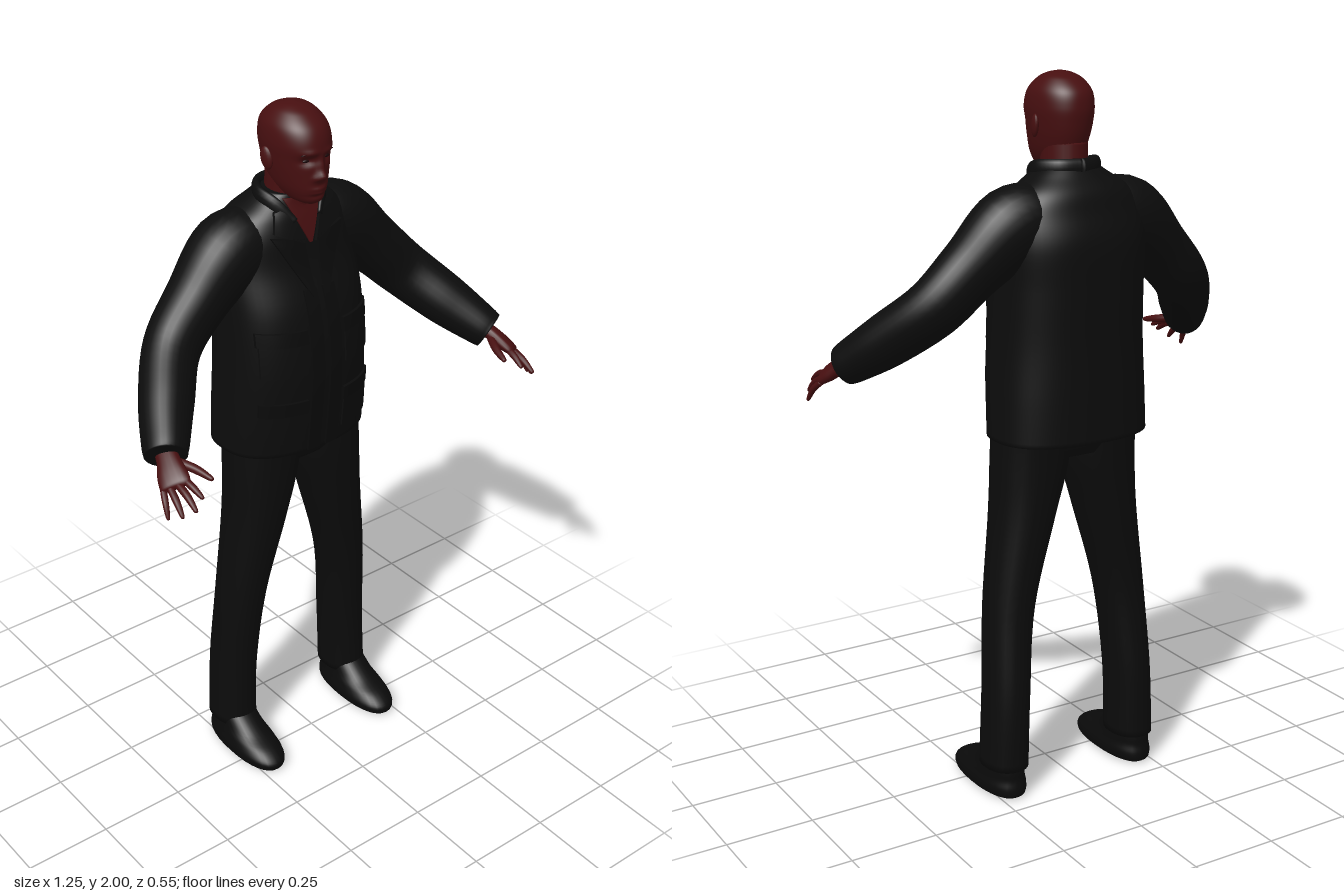
import * as THREE from 'three';

const mat = (name, color, side = THREE.FrontSide) => {
  const m = new THREE.MeshStandardMaterial({ color, side });
  m.name = name;
  return m;
};

// smooth interpolation through a table of sections
function at(rows, s) {
  const n = rows.length - 1, i = Math.min(Math.floor(s * n), n - 1), t = s * n - i;
  const [a, b, c, d] = [-1, 0, 1, 2].map(k => rows[Math.max(0, Math.min(n, i + k))]);
  return b.map((p, k) => p + 0.5 * t * (c[k] - a[k] + t * (2 * a[k] - 5 * p + 4 * c[k] - d[k]
    + t * (3 * (p - c[k]) + d[k] - a[k]))));
}

// section: [x, y, z, half width, half depth]; rings are horizontal unless a ref axis is given
function loft(rows, { ref = null, e = 2, seg = 28, steps = 24 } = {}) {
  const pos = [], idx = [], P = s => new THREE.Vector3(...at(rows, s));
  const pow = v => Math.sign(v) * Math.abs(v) ** (2 / e);
  for (let j = 0; j <= steps; j++) {
    const s = j / steps, r = at(rows, s), c = P(s);
    let u = new THREE.Vector3(1, 0, 0), v = new THREE.Vector3(0, 0, 1);
    if (ref) {
      const t = P(Math.min(1, s + 0.01)).sub(P(Math.max(0, s - 0.01))).normalize();
      v = ref.clone().addScaledVector(t, -ref.dot(t)).normalize();
      u = t.clone().cross(v);
    }
    for (let i = 0; i < seg; i++) {
      const a = i / seg * Math.PI * 2;
      const p = c.clone().addScaledVector(u, r[3] * pow(Math.cos(a))).addScaledVector(v, r[4] * pow(Math.sin(a)));
      pos.push(p.x, p.y, p.z);
    }
  }
  for (let j = 0; j < steps; j++) for (let i = 0; i < seg; i++) {
    const a = j * seg + i, b = j * seg + (i + 1) % seg;
    idx.push(a, a + seg, b, b, a + seg, b + seg);
  }
  // end caps
  const base = (steps + 1) * seg;
  pos.push(...P(0).toArray(), ...P(1).toArray());
  for (let i = 0; i < seg; i++) {
    const k = (i + 1) % seg, o = steps * seg;
    idx.push(base, i, k, base + 1, o + k, o + i);
  }
  const g = new THREE.BufferGeometry();
  g.setAttribute('position', new THREE.Float32BufferAttribute(pos, 3));
  g.setIndex(idx);
  g.computeVertexNormals();
  return g;
}

function mirrored(geo) {
  const g = geo.clone().scale(-1, 1, 1), a = g.index.array;
  for (let i = 0; i < a.length; i += 3) [a[i], a[i + 1]] = [a[i + 1], a[i]];
  return g;
}

// [y, half width, back z, front z] -> loft section
const ring = ([y, w, b, f]) => [0, y, (b + f) / 2, w, (f - b) / 2];

const TORSO = [
  [1.035, 0.226, -0.272, 0.045], [1.15, 0.222, -0.272, 0.058], [1.3, 0.214, -0.272, 0.068],
  [1.45, 0.21, -0.275, 0.052], [1.57, 0.208, -0.274, 0.01], [1.65, 0.198, -0.25, -0.008],
  [1.7, 0.165, -0.232, -0.022], [1.738, 0.11, -0.2, -0.034], [1.765, 0.072, -0.175, -0.035],
].map(ring);
const TORSO_E = 2.4;

// depth of the jacket front at a point
function frontZ(x, y) {
  let lo = 0, hi = 1;
  for (let i = 0; i < 24; i++) {
    const m = (lo + hi) / 2;
    if (at(TORSO, m)[1] < y) lo = m; else hi = m;
  }
  const r = at(TORSO, lo), k = Math.min(1, Math.abs(x) / r[3]);
  return r[2] + r[4] * (1 - k ** TORSO_E) ** (1 / TORSO_E);
}

// thin plate wrapped on the jacket front; corners: lower inner, lower outer, upper outer, upper inner
function plate(c, thick) {
  const g = new THREE.BoxGeometry(1, 1, 1, 8, 12, 1), p = g.attributes.position;
  for (let i = 0; i < p.count; i++) {
    const u = p.getX(i) + 0.5, v = p.getY(i) + 0.5, w = p.getZ(i);
    const [x, y] = [0, 1].map(k => (c[0][k] * (1 - u) + c[1][k] * u) * (1 - v) + (c[3][k] * (1 - u) + c[2][k] * u) * v);
    p.setXYZ(i, x, y, frontZ(x, y) + (w > 0 ? thick : -0.006));
  }
  g.computeVertexNormals();
  return g;
}
const rect = (x0, x1, y0, y1) => [[x0, y0], [x1, y0], [x1, y1], [x0, y1]];

// head with a sculpted face
function headGeometry() {
  const g = loft([
    [1.747, 0.022, -0.07, 0.012], [1.76, 0.042, -0.12, 0.029], [1.79, 0.059, -0.15, 0.036],
    [1.83, 0.07, -0.168, 0.037], [1.87, 0.077, -0.178, 0.038], [1.91, 0.081, -0.182, 0.041],
    [1.95, 0.075, -0.173, 0.026], [1.98, 0.054, -0.142, -0.008], [1.994, 0.031, -0.108, -0.04],
    [2.0, 0.004, -0.078, -0.07],
  ].map(ring), { e: 2.15, seg: 80, steps: 80 });
  const p = g.attributes.position;
  const bump = (x, y, sx, sy) => Math.exp(-((x / sx) ** 2) - (y / sy) ** 2);
  for (let i = 0; i < p.count; i++) {
    const x = p.getX(i), y = p.getY(i), z = p.getZ(i), ax = Math.abs(x);
    if (z < -0.03) continue;
    p.setZ(i, z + 0.02 * bump(x, y - 1.832, 0.013, 0.014) + 0.012 * bump(x, y - 1.86, 0.009, 0.022)
      + 0.006 * bump(ax - 0.015, y - 1.826, 0.008, 0.008) - 0.012 * bump(ax - 0.031, y - 1.873, 0.017, 0.012)
      + 0.005 * bump(ax - 0.028, y - 1.895, 0.022, 0.008) + 0.006 * bump(x, y - 1.796, 0.022, 0.005)
      + 0.006 * bump(x, y - 1.785, 0.018, 0.005) - 0.004 * bump(x, y - 1.775, 0.03, 0.006));
  }
  g.computeVertexNormals();
  return g;
}

export function createModel() {
  const model = new THREE.Group();
  const skin = mat('skin', 0x470f10), dark = mat('dark skin', 0x1c0708);
  const jacket = mat('jacket cloth', 0x0c0c0c), trim = mat('jacket trim', 0x0a0a0a);
  const cloth = mat('trouser cloth', 0x0b0b0b), leather = mat('shoe leather', 0x0a0a0a);
  const add = (name, geo, m) => {
    const mesh = new THREE.Mesh(geo, m);
    mesh.name = name;
    model.add(mesh);
  };
  const pair = (name, geo, m) => {
    add(name + 'Left', geo, m);
    add(name + 'Right', mirrored(geo), m);
  };
  const V = (...a) => new THREE.Vector3(...a), Z = V(0, 0, 1);

  // head and neck
  add('head', headGeometry(), skin);
  add('neck', loft([[1.62, 0.07, -0.17, -0.05], [1.7, 0.064, -0.17, -0.03], [1.75, 0.06, -0.168, -0.026],
    [1.82, 0.06, -0.165, -0.02]].map(ring)), skin);
  const ear = new THREE.SphereGeometry(1, 16, 12).scale(0.009, 0.031, 0.019).rotateX(-0.2).rotateY(-0.25)
    .translate(0.081, 1.862, -0.082);
  pair('ear', ear, skin);
  pair('eye', new THREE.SphereGeometry(1, 14, 10).scale(0.012, 0.005, 0.006).translate(0.031, 1.873, 0.018), dark);
  pair('brow', loft([[0.014, 1.89, 0.037, 0.002, 0.003], [0.031, 1.895, 0.033, 0.003, 0.003],
    [0.05, 1.891, 0.022, 0.001, 0.003]], { ref: Z, seg: 8, steps: 10 }), dark);

  // jacket body, open neck and collar
  add('jacketBody', loft(TORSO, { e: TORSO_E, seg: 56, steps: 48 }), jacket);
  add('openNeck', plate([[-0.004, 1.635], [0.004, 1.635], [0.058, 1.755], [-0.058, 1.755]], 0.005), skin);
  pair('collar', loft([[0.045, 1.69, -0.022, 0.008, 0.02], [0.078, 1.735, -0.06, 0.014, 0.026],
    [0.085, 1.752, -0.11, 0.014, 0.026], [0.055, 1.758, -0.162, 0.012, 0.024], [0, 1.758, -0.18, 0.012, 0.024]],
  { ref: V(0, 1, 0), seg: 16 }), jacket);
  pair('lapel', plate([[0.014, 1.5], [0.026, 1.5], [0.115, 1.665], [0.022, 1.65]], 0.009), trim);
  pair('upperLapel', plate([[0.014, 1.635], [0.105, 1.675], [0.09, 1.725], [0.052, 1.735]], 0.009), jacket);
  pair('frontBand', plate(rect(0.01, 0.05, 1.04, 1.52), 0.006), trim);

  // pockets with flaps
  for (const [name, y] of [['lower', 1.08], ['upper', 1.29]]) {
    pair(name + 'Pocket', plate(rect(0.065, 0.18, y, y + 0.1), 0.006), jacket);
    pair(name + 'PocketFlap', plate(rect(0.06, 0.185, y + 0.09, y + 0.13), 0.009), trim);
  }

  // sleeves
  pair('sleeve', loft([[0.07, 1.635, -0.125, 0.08, 0.09], [0.175, 1.612, -0.125, 0.106, 0.1],
    [0.29, 1.515, -0.112, 0.086, 0.083], [0.39, 1.415, -0.088, 0.079, 0.073], [0.475, 1.325, 0.005, 0.073, 0.07],
    [0.535, 1.262, 0.085, 0.06, 0.062], [0.553, 1.243, 0.112, 0.054, 0.056]], { ref: Z, e: 2.1, steps: 36 }), jacket);

  // hands: a flat palm, four fingers and a thumb
  const across = V(0.055, -0.03, -0.035).normalize();
  pair('palm', loft([[0.54, 1.255, 0.085, 0.022, 0.03], [0.555, 1.238, 0.125, 0.02, 0.031],
    [0.568, 1.218, 0.16, 0.019, 0.04], [0.577, 1.203, 0.187, 0.014, 0.041], [0.58, 1.198, 0.195, 0.004, 0.03]],
  { ref: across, e: 2.3, seg: 20 }), skin);
  const finger = (name, a, b, c, r) => pair(name, loft([[...a, r, r], [...b, r, r],
    ...[0.85, 1].map(t => [...V(...b).lerp(V(...c), t).toArray(), r * (1.1 - 0.9 * t ** 4), r * (1.1 - 0.9 * t ** 4)])],
  { ref: across, seg: 12, steps: 14 }), skin);
  finger('indexFinger', [0.555, 1.215, 0.19], [0.551, 1.206, 0.225], [0.545, 1.188, 0.262], 0.0095);
  finger('middleFinger', [0.572, 1.207, 0.185], [0.574, 1.194, 0.232], [0.576, 1.168, 0.277], 0.01);
  finger('ringFinger', [0.588, 1.198, 0.175], [0.595, 1.178, 0.215], [0.6, 1.146, 0.251], 0.0095);
  finger('littleFinger', [0.6, 1.19, 0.165], [0.612, 1.166, 0.192], [0.62, 1.13, 0.214], 0.0085);
  finger('thumb', [0.54, 1.235, 0.135], [0.515, 1.226, 0.185], [0.499, 1.215, 0.24], 0.0115);

  // trousers
  pair('trouserLeg', loft([[0.211, 0.09, -0.12, 0.063, 0.08], [0.203, 0.3, -0.12, 0.061, 0.08],
    [0.182, 0.55, -0.102, 0.067, 0.081], [0.135, 0.8, -0.094, 0.087, 0.097], [0.109, 0.96, -0.094, 0.106, 0.105],
    [0.105, 1.1, -0.1, 0.106, 0.108]], { e: 2.2, steps: 32 }), cloth);
  add('trouserSeat', loft([[0.98, 0.15, -0.185, -0.01], [1.02, 0.2, -0.2, 0.008], [1.12, 0.21, -0.21, 0.01]].map(ring),
    { e: 2.5 }), cloth);

  // shoes
  pair('shoe', loft([[0.212, 0.004, -0.045, 0.05, 0.14], [0.212, 0.014, -0.045, 0.064, 0.154],
    [0.212, 0.035, -0.046, 0.068, 0.154], [0.212, 0.06, -0.06, 0.062, 0.135], [0.212, 0.085, -0.09, 0.056, 0.105],
    [0.212, 0.13, -0.12, 0.05, 0.07]], { e: 2.3, seg: 32 }), leather);

  return model;
}
